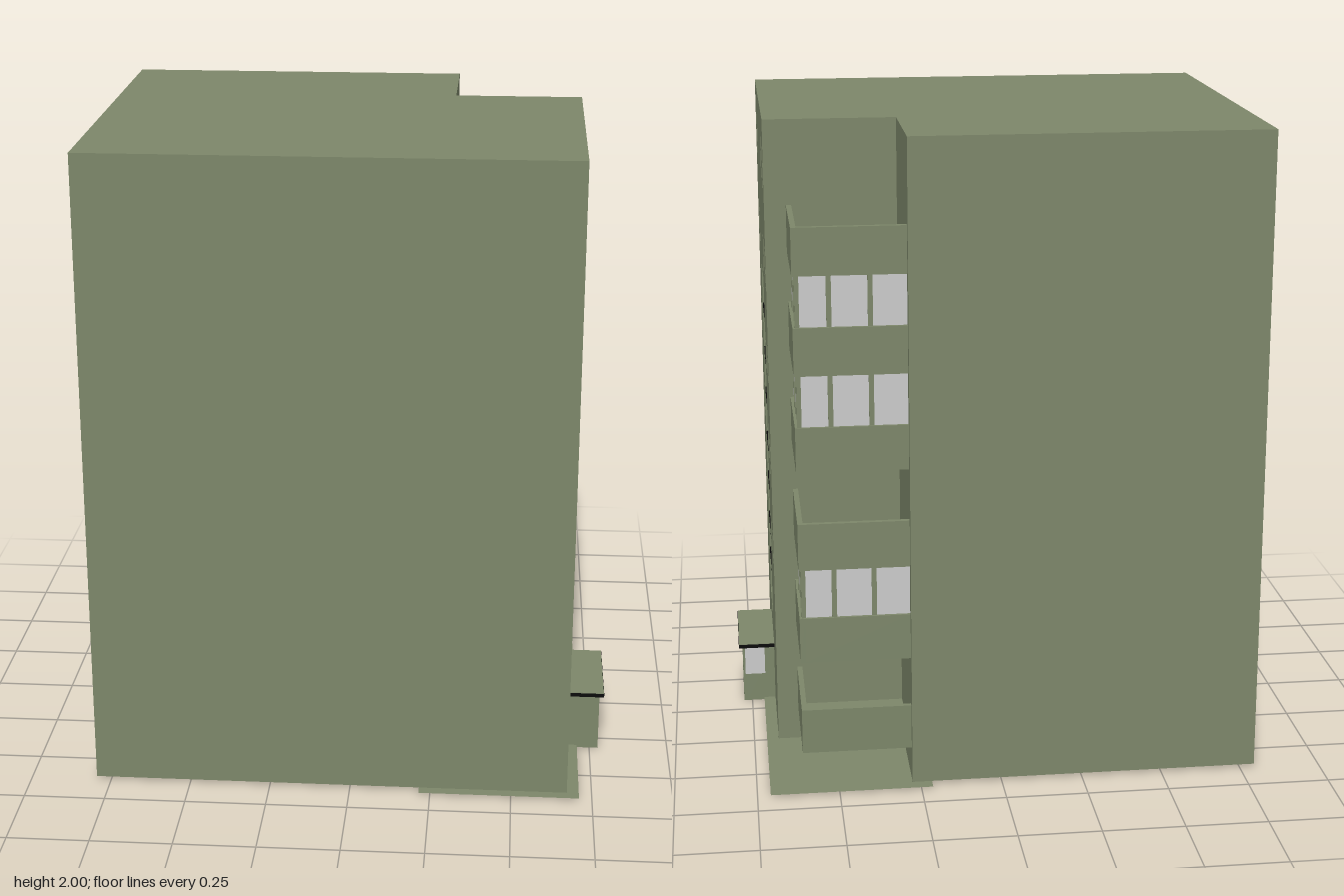
import * as THREE from 'three';

const wallMat = new THREE.MeshStandardMaterial({ color: 0x7d876a });
const groundMat = new THREE.MeshStandardMaterial({ color: 0x7d876a, side: THREE.DoubleSide });
const glassMat = new THREE.MeshStandardMaterial({ color: 0xcccccc });
const blackMat = new THREE.MeshStandardMaterial({ color: 0x0a0a0a });

// Box given by its limits on each axis
function box(parent, name, mat, [x0, x1], [y0, y1], [z0, z1]) {
  const mesh = new THREE.Mesh(new THREE.BoxGeometry(x1 - x0, y1 - y0, z1 - z0), mat);
  mesh.position.set((x0 + x1) / 2, (y0 + y1) / 2, (z0 + z1) / 2);
  mesh.name = name;
  parent.add(mesh);
  return mesh;
}

function rectPoints([u0, u1], [v0, v1]) {
  return [[u0, v0], [u1, v0], [u1, v1], [u0, v1]].map(p => new THREE.Vector2(...p));
}

// Wall facing +x with rectangular openings, each given as { z, y }
function piercedWall(parent, name, x0, x1, z, y, openings) {
  const shape = new THREE.Shape(rectPoints([-z[1], -z[0]], y));
  for (const o of openings) shape.holes.push(new THREE.Path(rectPoints([-o.z[1], -o.z[0]], o.y)));
  const geo = new THREE.ExtrudeGeometry(shape, { depth: x1 - x0, bevelEnabled: false });
  geo.rotateY(Math.PI / 2);
  const mesh = new THREE.Mesh(geo, wallMat);
  mesh.position.x = x0;
  mesh.name = name;
  parent.add(mesh);
}

function createBlock() {
  const block = new THREE.Group();
  block.name = 'towerBlock';

  // L-shaped body, with the notch at the back right corner
  const plan = [[-0.795, -0.63], [0.275, -0.63], [0.275, -0.265], [0.66, -0.265], [0.66, 0.63], [-0.795, 0.63]];
  const shape = new THREE.Shape(plan.map(([x, z]) => new THREE.Vector2(x, -z)));
  const geo = new THREE.ExtrudeGeometry(shape, { depth: 1.99, bevelEnabled: false });
  geo.rotateX(-Math.PI / 2);
  const body = new THREE.Mesh(geo, wallMat);
  body.position.y = 0.01;
  body.name = 'body';
  block.add(body);

  // Facade skin with small windows and the tall stair window
  const rows = [[0.57, 0.68], [0.87, 0.985], [1.17, 1.29], [1.48, 1.595], [1.78, 1.91]];
  const columns = [[0.44, 0.51], [-0.035, 0.035], [-0.21, -0.145]];
  const windows = rows.flatMap(y => columns.map(z => ({ z, y })));
  const stair = { z: [0.105, 0.362], y: [0.29, 1.435] };
  piercedWall(block, 'facade', 0.66, 0.673, [-0.265, 0.63], [0.01, 2], [...windows, stair]);

  for (const { z, y } of windows) {
    const mid = (z[0] + z[1]) / 2;
    box(block, 'windowPane', glassMat, [0.655, 0.664], y, z);
    box(block, 'windowBar', blackMat, [0.66, 0.668], y, [mid - 0.003, mid + 0.003]);
  }
  box(block, 'stairGlass', glassMat, [0.655, 0.664], stair.y, stair.z);
  for (const y of [0.43, 0.56, 0.705, 0.845, 1.0, 1.14, 1.29])
    box(block, 'stairBar', blackMat, [0.66, 0.672], [y - 0.008, y + 0.008], stair.z);
  return block;
}

// Balcony tray: floor and two parapets meeting at the outer corner
function createBalcony(y0, y1) {
  const g = new THREE.Group();
  g.name = 'balcony';
  box(g, 'balconyFloor', wallMat, [0.275, 0.592], [y0, y0 + 0.012], [-0.592, -0.265]);
  box(g, 'sideParapet', wallMat, [0.592, 0.608], [y0, y1], [-0.608, -0.265]);
  box(g, 'backParapet', wallMat, [0.275, 0.592], [y0, y1], [-0.608, -0.592]);
  return g;
}

// Glazed band between two balconies, three panes on each side
function createGlazing(y0, y1) {
  const g = new THREE.Group();
  g.name = 'balconyGlazing';
  const y = [y0, y1];
  for (const z of [[-0.375, -0.265], [-0.5, -0.39], [-0.592, -0.515]])
    box(g, 'sidePane', glassMat, [0.592, 0.598], y, z);
  for (const x of [[0.275, 0.375], [0.39, 0.495], [0.51, 0.592]])
    box(g, 'backPane', glassMat, x, y, [-0.598, -0.592]);
  for (const z of [-0.3825, -0.5075])
    box(g, 'sideMullion', wallMat, [0.588, 0.601], y, [z - 0.0075, z + 0.0075]);
  for (const x of [0.3825, 0.5025])
    box(g, 'backMullion', wallMat, [x - 0.0075, x + 0.0075], y, [-0.601, -0.588]);
  box(g, 'cornerPost', wallMat, [0.588, 0.601], y, [-0.601, -0.588]);
  return g;
}

function createEntrance() {
  const g = new THREE.Group();
  g.name = 'entrance';
  const door = { z: [0.228, 0.307], y: [0.006, 0.165] };
  const panes = [{ z: [0.08, 0.139], y: [0.095, 0.195] }, { z: [0.145, 0.208], y: [0.095, 0.195] }];
  box(g, 'porch', wallMat, [0.67, 0.765], [0, 0.202], [0.073, 0.315]);
  piercedWall(g, 'porchFront', 0.765, 0.777, [0.073, 0.315], [0, 0.202], [door, ...panes]);
  box(g, 'door', wallMat, [0.76, 0.768], door.y, door.z);
  for (const p of panes) box(g, 'porchPane', glassMat, [0.76, 0.774], p.y, p.z);
  box(g, 'porchSidePane', glassMat, [0.705, 0.77], [0.095, 0.195], [0.071, 0.08]);
  // Canopy with a dark rim and a wall-coloured top
  box(g, 'canopy', blackMat, [0.67, 0.79], [0.2, 0.212], [0.04, 0.352]);
  box(g, 'canopyTop', wallMat, [0.67, 0.789], [0.211, 0.214], [0.041, 0.351]);
  return g;
}

export function createModel() {
  const model = new THREE.Group();
  model.name = 'apartmentBlock';
  model.add(createBlock(), createEntrance());

  const balconies = [[0.115, 0.255], [0.41, 0.552], [0.705, 0.85], [1.01, 1.147], [1.303, 1.447], [1.6, 1.742]];
  for (const [y0, y1] of balconies) model.add(createBalcony(y0, y1));
  for (const [y0, y1] of [[0.552, 0.705], [1.147, 1.303], [1.447, 1.6]]) model.add(createGlazing(y0, y1));

  // Thin paving around the entrance side
  const paving = new THREE.Mesh(new THREE.PlaneGeometry(0.495, 1.325), groundMat);
  paving.rotation.x = -Math.PI / 2;
  paving.position.set(0.4625, 0.008, -0.003);
  paving.name = 'paving';
  model.add(paving);
  return model;
}
